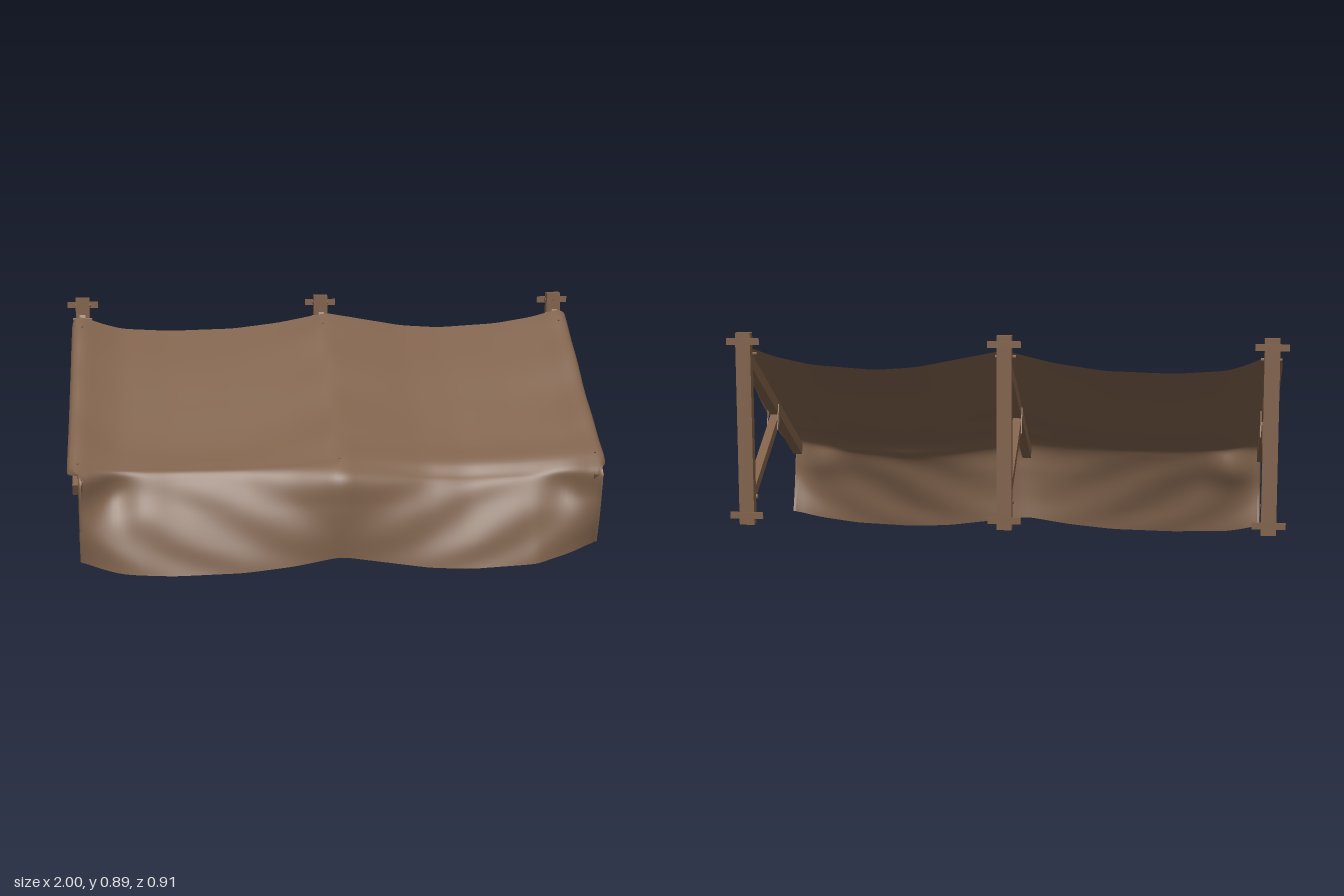
import * as THREE from 'three';

const wood = new THREE.MeshStandardMaterial({ color: 0x7f6049 });
wood.name = 'brown wood';
const canvas = new THREE.MeshStandardMaterial({ color: 0x7f624c, side: THREE.DoubleSide });
canvas.name = 'brown canvas';

const smooth = (a, b, t) => THREE.MathUtils.smoothstep(t, a, b);
const lerp = THREE.MathUtils.lerp;
const bump = (t, centre, width) => Math.exp(-(((t - centre) / width) ** 2));

function box(name, w, h, d, x, y, z) {
  const m = new THREE.Mesh(new THREE.BoxGeometry(w, h, d), wood);
  m.name = name;
  m.position.set(x, y, z);
  return m;
}

// Square timber running between two points [y, z] in a side plane
function timber(name, w, h, x, [y0, z0], [y1, z1]) {
  const m = box(name, w, h, Math.hypot(y1 - y0, z1 - z0), x, (y0 + y1) / 2, (z0 + z1) / 2);
  m.rotation.x = -Math.atan2(y1 - y0, z1 - z0);
  return m;
}

// Round bolt lying along x or z
function bolt(name, r, len, x, y, z, alongX) {
  const m = new THREE.Mesh(new THREE.CylinderGeometry(r, r, len, 8), wood);
  m.name = name;
  m.position.set(x, y, z);
  if (alongX) m.rotation.z = Math.PI / 2;
  else m.rotation.x = Math.PI / 2;
  return m;
}

// One wall post with its rafter, brace and fittings
function supportFrame(x) {
  const g = new THREE.Group();
  g.name = 'supportFrame';
  g.add(box('post', 0.054, 0.7, 0.037, x, 0.55, -0.4405));
  for (const y of [0.87, 0.235]) {
    g.add(box('wallStrap', 0.12, 0.024, 0.006, x, y, -0.459));
    g.add(bolt('strapBolt', 0.007, 0.062, x, y, -0.448, true));
  }
  g.add(bolt('postBolt', 0.004, 0.014, x, 0.872, -0.416, false));
  g.add(timber('rafter', 0.035, 0.045, x, [0.798, -0.405], [0.327, 0.423]));
  g.add(timber('brace', 0.032, 0.038, x, [0.288, -0.417], [0.52, 0.037]));
  // Hinges where the timbers meet the post
  g.add(box('hingePlate', 0.018, 0.035, 0.024, x, 0.795, -0.412));
  g.add(timber('upperHinge', 0.022, 0.018, x, [0.802, -0.386], [0.832, -0.41]));
  g.add(bolt('upperHingePin', 0.006, 0.075, x, 0.82, -0.402, true));
  g.add(bolt('lowerHingePin', 0.009, 0.056, x, 0.293, -0.398, true));
  // Thin ties holding the brace against the rafter
  for (const s of [-1, 1]) {
    g.add(timber('braceTie', 0.004, 0.005, x + s * 0.02, [0.48, -0.025], [0.575, 0.004]));
  }
  return g;
}

// Side profiles of the cloth, [z, y] from the wall edge to the hem
const curve = pts => new THREE.CatmullRomCurve3(pts.map(([z, y]) => new THREE.Vector3(0, y, z)));
const overRafter = curve([[-0.37, 0.838], [-0.2, 0.737], [0, 0.609], [0.2, 0.497], [0.36, 0.412],
  [0.44, 0.352], [0.446, 0.25], [0.442, 0.15], [0.432, 0.06]]);
const midSpan = curve([[-0.417, 0.768], [-0.2, 0.652], [0, 0.532], [0.2, 0.414], [0.3, 0.367],
  [0.34, 0.325], [0.385, 0.23], [0.425, 0.11], [0.45, 0.008]]);
const FOLD = 5 / 8;

// How far the cloth sags toward the mid-span profile across its width
const sagKeys = [[-0.94, 0], [-0.87, 0.45], [-0.79, 0.82], [-0.6, 1], [-0.35, 0.9], [-0.17, 0.55],
  [0, 0], [0.17, 0.45], [0.32, 0.85], [0.47, 1], [0.7, 0.8], [0.85, 0.42], [0.94, 0]];
function sag(x) {
  if (Math.abs(x) >= 0.94) return 0;
  const i = sagKeys.findIndex(k => k[0] > x);
  const [a, b] = [sagKeys[i - 1], sagKeys[i]];
  return lerp(a[1], b[1], (x - a[0]) / (b[0] - a[0]));
}

function clothPoint(x, v) {
  const side = Math.sign(x), ax = Math.abs(x);
  const over = Math.max(0, (ax - 0.94) / 0.06); // part lapping past the outer rafter
  // average nearby values so the sag runs smoothly
  const w = [-0.03, -0.015, 0, 0.015, 0.03].reduce((s, d) => s + sag(x + d), 0) / 5;
  const p = overRafter.getPoint(v).lerp(midSpan.getPoint(v), w);
  const drop = Math.max(0, (v - FOLD) / (1 - FOLD));
  const roof = 1 - smooth(FOLD - 0.14, FOLD - 0.02, v);
  // crease along the front fold, lower on the right-hand half of the front
  p.y -= 0.014 * w * bump(v, FOLD - 0.05, 0.07) * side;
  // the front swings inward beside the outer rafters
  p.z -= (side < 0 ? 0.05 : 0.035) * bump(ax, 0.83, 0.09) * bump(v, 0.69, 0.09);
  // a few folds fan out from the upper corners
  const fan = drop * (1 - drop) * 4;
  p.z += 0.006 * w * fan * Math.sin(16 * (1 - ax) - 9 * drop);
  // small ripples where the cloth lies on the rafters
  p.y += 0.003 * roof * (1 - w) * Math.sin(38 * v + side);
  // side edge turns down along the roof; front corners pull in and swing back
  const hemX = side < 0 ? 0.927 : 0.953;
  if (over > 0) {
    const roofX = 0.94 + 0.04 * Math.sin(over * Math.PI / 2);
    const frontX = lerp(0.94, hemX, over);
    p.x = side * lerp(frontX, roofX, roof);
  } else {
    p.x = x;
  }
  p.y -= roof * 0.04 * over * over;
  const corner = THREE.MathUtils.clamp((ax - 0.72) / 0.23, 0, 1);
  p.z -= drop * corner * (side > 0 ? 0.063 : 0.047);
  p.y += drop * corner * (side > 0 ? 0.018 : -0.005);
  return p;
}

function clothGeometry(nx, nv) {
  const pos = [], index = [];
  for (let j = 0; j <= nv; j++) {
    for (let i = 0; i <= nx; i++) {
      pos.push(...clothPoint(-1 + 2 * i / nx, j / nv).toArray());
    }
  }
  for (let j = 0; j < nv; j++) {
    for (let i = 0; i < nx; i++) {
      const a = j * (nx + 1) + i, b = a + 1, c = a + nx + 1, d = c + 1;
      index.push(a, c, b, b, c, d);
    }
  }
  const g = new THREE.BufferGeometry();
  g.setAttribute('position', new THREE.Float32BufferAttribute(pos, 3));
  g.setIndex(index);
  g.computeVertexNormals();
  return g;
}

export function createModel() {
  const model = new THREE.Group();
  model.name = 'awning';
  for (const x of [-0.94, 0, 0.94]) model.add(supportFrame(x));

  const cloth = new THREE.Mesh(clothGeometry(120, 64), canvas);
  cloth.name = 'canopyCloth';
  model.add(cloth);

  // Nails fixing the cloth to the rafters
  for (const x of [-0.94, 0, 0.94]) {
    for (const v of [0.04, 0.5]) {
      const nail = new THREE.Mesh(new THREE.CylinderGeometry(0.004, 0.004, 0.006, 6), wood);
      nail.name = 'clothNail';
      nail.position.copy(clothPoint(x, v));
      nail.rotation.x = 0.52;
      model.add(nail);
    }
  }
  return model;
}
